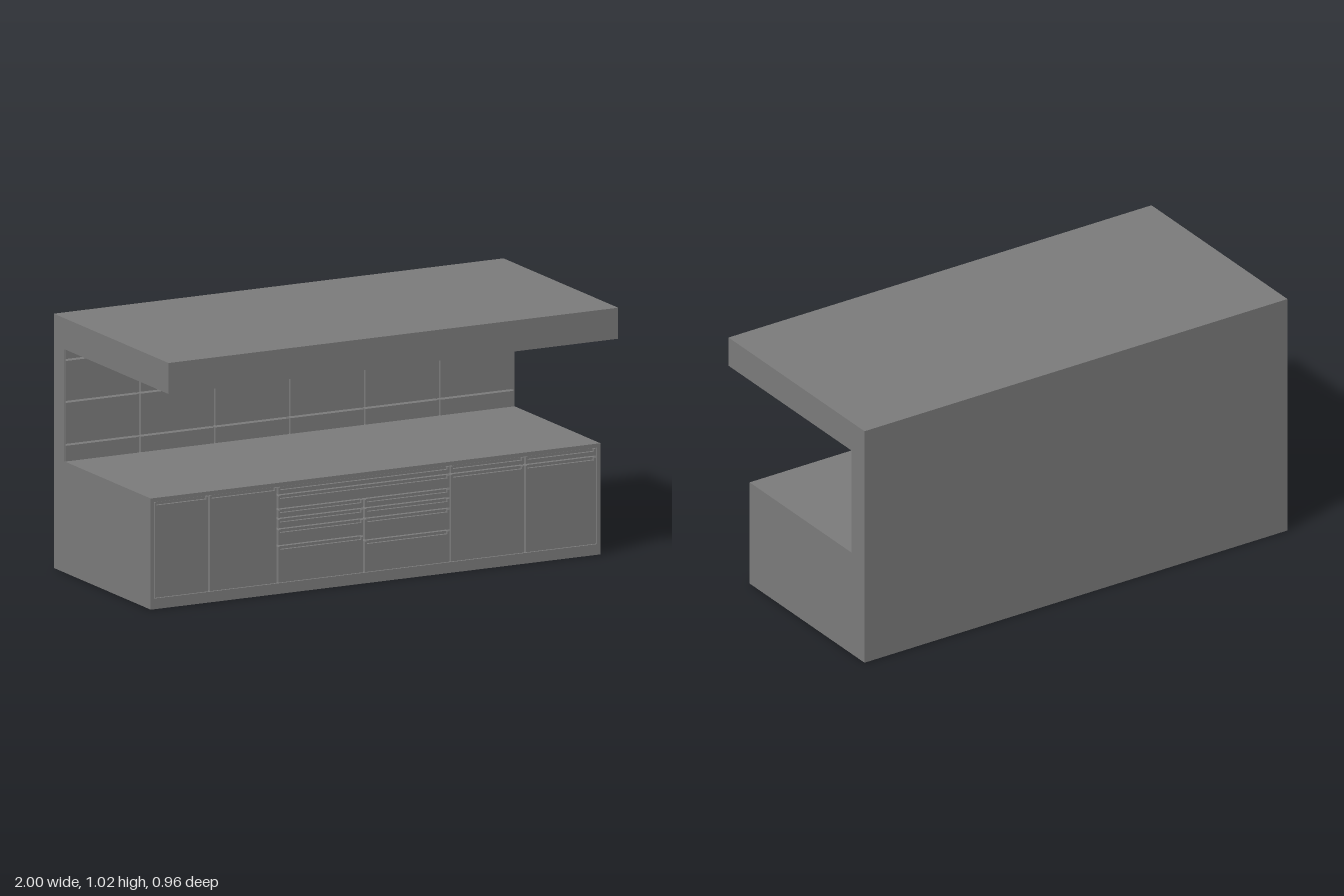
import * as THREE from 'three';

const material = new THREE.MeshStandardMaterial({ color: 0x7b7b7b, flatShading: true });

// Box given by its limits on each axis
function box(name, x0, x1, y0, y1, z0, z1) {
  const mesh = new THREE.Mesh(new THREE.BoxGeometry(x1 - x0, y1 - y0, z1 - z0), material);
  mesh.position.set((x0 + x1) / 2, (y0 + y1) / 2, (z0 + z1) / 2);
  mesh.name = name;
  return mesh;
}

// Rectangular frame in the XY plane, extruded along z; limits are [x0, x1, y0, y1]
function frame(name, outer, inner, depth) {
  const rect = (target, [x0, x1, y0, y1]) => {
    target.moveTo(x0, y0).lineTo(x1, y0).lineTo(x1, y1).lineTo(x0, y1).closePath();
    return target;
  };
  const shape = rect(new THREE.Shape(), outer);
  shape.holes.push(rect(new THREE.Path(), inner));
  const mesh = new THREE.Mesh(new THREE.ExtrudeGeometry(shape, { depth, bevelEnabled: false }), material);
  mesh.name = name;
  return mesh;
}

// Door or drawer front with a grip notch cut into its top edge
function cabinetFront(name, x0, x1, y0, y1) {
  const g = new THREE.Group();
  g.name = name;
  const gap = 0.004, grip = 0.011, rim = 0.008, back = 0.28, face = 0.328;
  const [l, r, b, t] = [x0 + gap, x1 - gap, y0 + gap, y1 - gap];
  g.add(box('panel', l, r, b, t - grip, back, face));
  for (const [a, c] of [[l, l + rim], [r - rim, r]]) {
    g.add(box('gripEnd', a, c, t - grip, t, back, face));
  }
  g.add(box('gripRecess', l + rim, r - rim, t - grip, t, back, face - 0.012));
  return g;
}

export function createModel() {
  const model = new THREE.Group();
  model.name = 'workbenchUnit';

  // Base cabinet with a framed front opening
  const base = new THREE.Group();
  base.name = 'baseCabinet';
  base.add(box('carcass', -1, 1, 0, 0.448, -0.477, 0.28));
  const frontFrame = frame('frontFrame', [-1, 1, 0, 0.448], [-0.985, 0.985, 0.043, 0.432], 0.05);
  frontFrame.position.z = 0.28;
  base.add(frontFrame);
  model.add(base);

  // Doors and drawers: x0, x1, then horizontal divisions from the bottom up
  const columns = [
    ['door', -0.985, -0.74, [0.041, 0.432]],
    ['door', -0.74, -0.435, [0.041, 0.432]],
    ['wideDrawer', -0.435, 0.333, [0.34, 0.397, 0.432]],
    ['drawer', -0.435, -0.05, [0.041, 0.192, 0.26, 0.302, 0.34]],
    ['drawer', -0.05, 0.333, [0.041, 0.172, 0.26, 0.302, 0.34]],
    ['doorAndDrawer', 0.333, 0.665, [0.041, 0.397, 0.432]],
    ['doorAndDrawer', 0.665, 0.985, [0.041, 0.397, 0.432]],
  ];
  for (const [name, x0, x1, ys] of columns) {
    for (let i = 0; i < ys.length - 1; i++) {
      model.add(cabinetFront(name, x0, x1, ys[i], ys[i + 1]));
    }
  }

  // Back wall with thin end boards that close the grooves between panels
  model.add(box('backWall', -1, 1, 0.448, 1.025, -0.477, -0.42));
  for (const [x0, x1] of [[-1, -0.996], [0.996, 1]]) {
    model.add(box('wallEnd', x0, x1, 0.448, 0.9, -0.42, -0.386));
  }

  // Grid of wall panels
  const rows = [0.448, 0.515, 0.688, 0.857, 0.903];
  const gap = 0.004;
  for (let c = 0; c < 6; c++) {
    for (let r = 0; r < rows.length - 1; r++) {
      const x0 = -1 + c / 3, x1 = x0 + 1 / 3;
      model.add(box('wallPanel', x0 + gap, x1 - gap,
        rows[r] + (r ? gap : 0), rows[r + 1] - gap, -0.42, -0.384));
    }
  }

  // Canopy: a lid over a rim that leaves the underside hollow
  const canopy = new THREE.Group();
  canopy.name = 'canopy';
  canopy.add(box('canopyLid', -1, 1, 0.987, 1.025, -0.42, 0.478));
  const rim = frame('canopyRim', [-1, 1, -0.42, 0.478], [-0.982, 0.982, -0.386, 0.42], 0.087);
  rim.rotation.x = Math.PI / 2;
  rim.position.y = 0.987;
  canopy.add(rim);
  model.add(canopy);

  return model;
}
